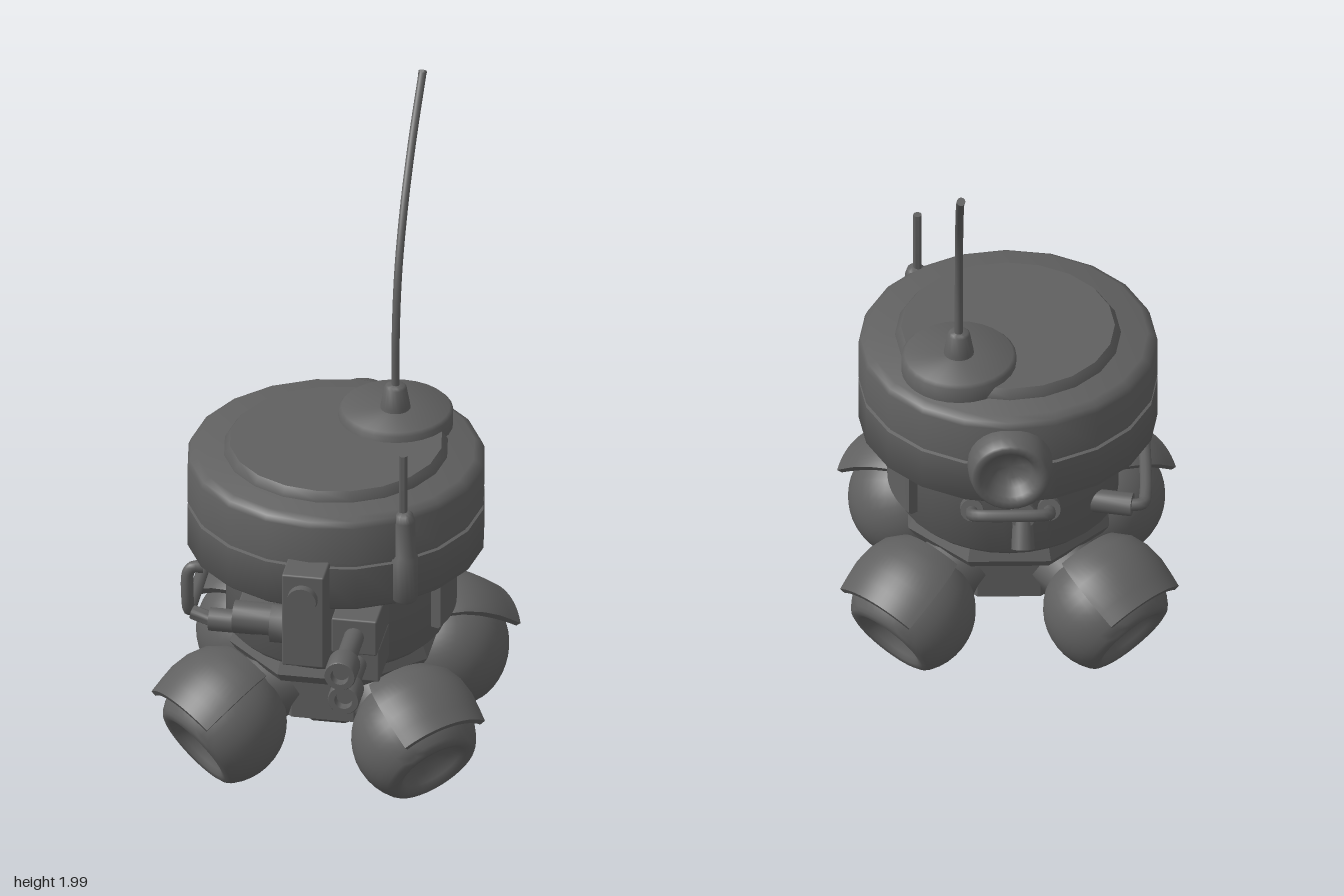
import * as THREE from 'three';
import { toCreasedNormals } from 'three/addons/utils/BufferGeometryUtils.js';
import { RoundedBoxGeometry } from 'three/addons/geometries/RoundedBoxGeometry.js';

const dark = new THREE.MeshStandardMaterial({ color: 0x606060 });
const darkDouble = new THREE.MeshStandardMaterial({ color: 0x606060, side: THREE.DoubleSide });
const CZ = -0.035; // centre line of the round body
const V = (x, y, z) => new THREE.Vector3(x, y, z);
const pts = (list) => list.map(([x, y]) => new THREE.Vector2(x, y));

function add(parent, name, geo, x = 0, y = 0, z = 0, mat = dark) {
  const mesh = new THREE.Mesh(geo, mat);
  mesh.name = name;
  mesh.position.set(x, y, z);
  parent.add(mesh);
  return mesh;
}

// Profile points run [radius, height] from bottom to top
const lathe = (profile, sides = 32) => toCreasedNormals(new THREE.LatheGeometry(pts(profile), sides), 0.95);

// Closed profile swept part of the way round the y axis, with both ends capped
function sweep(parent, name, profile, start, length, z = 0) {
  const outline = pts(profile);
  const geo = new THREE.LatheGeometry([...outline, outline[0]], 18, start, length);
  add(parent, name, toCreasedNormals(geo, 0.6), 0, 0, z, darkDouble);
  for (const angle of [start, start + length]) {
    const cap = add(parent, name + 'End', new THREE.ShapeGeometry(new THREE.Shape(outline)), 0, 0, z, darkDouble);
    cap.rotation.y = angle - Math.PI / 2;
  }
}

// Cylinder running from point a to point b
function rod(parent, name, a, b, r0, r1 = r0, sides = 16) {
  const geo = toCreasedNormals(new THREE.CylinderGeometry(r1, r0, a.distanceTo(b), sides), 0.9);
  const mesh = add(parent, name, geo);
  mesh.position.copy(a).add(b).multiplyScalar(0.5);
  mesh.quaternion.setFromUnitVectors(V(0, 1, 0), b.clone().sub(a).normalize());
}

function pipe(parent, name, points, r, segments = 40) {
  const curve = new THREE.CatmullRomCurve3(points, false, 'centripetal');
  add(parent, name, new THREE.TubeGeometry(curve, segments, r, 10), 0, 0, 0, darkDouble);
}

const box = (parent, name, w, h, d, x, y, z) =>
  add(parent, name, new RoundedBoxGeometry(w, h, d, 2, 0.006), x, y, z);

// Ball wheel with a dished outer face, mudguard and arm; outward is +z
function wheelPod() {
  const pod = new THREE.Group();
  pod.name = 'wheelPod';
  const tilted = new THREE.Group();
  tilted.name = 'tiltedWheel';
  tilted.rotation.x = THREE.MathUtils.degToRad(120); // local y points outward and down
  pod.add(tilted);

  const R = 0.19, profile = [];
  for (let i = 0; i <= 14; i++) {
    const a = -Math.PI / 2 + (i / 14) * (Math.PI / 2 + 0.62);
    profile.push([Math.max(0, R * Math.cos(a)), R * Math.sin(a)]);
  }
  profile.push([0.145, 0.12], [0.13, 0.126], [0.112, 0.122], [0.1, 0.108], [0.08, 0.085], [0.045, 0.07], [0, 0.066]);
  add(tilted, 'wheel', lathe(profile, 36));

  // Mudguard: thin shell over the upper part of the wheel
  const half = 0.74;
  sweep(tilted, 'mudguard', [[0.165, -0.16], [0.205, -0.115], [0.225, -0.06], [0.231, 0], [0.226, 0.05], [0.219, 0.1],
    [0.2, 0.1], [0.205, 0.05], [0.206, 0], [0.2, -0.06], [0.183, -0.11], [0.148, -0.15]], Math.PI - half, 2 * half);
  rod(pod, 'wheelArm', V(0, 0.1, -0.26), V(0, 0.05, -0.08), 0.12, 0.1, 8);
  return pod;
}

export function createModel() {
  const model = new THREE.Group();
  model.name = 'roverRobot';

  // Head drum with groove and raised lid
  add(model, 'headDrum', lathe([[0, 0.7], [0.435, 0.7], [0.455, 0.716], [0.455, 0.85], [0.445, 0.853], [0.445, 0.862],
    [0.455, 0.866], [0.455, 0.99], [0.447, 1.008], [0.425, 1.02], [0, 1.02]], 20), 0, 0, CZ);
  add(model, 'lid', lathe([[0, 1.01], [0.343, 1.01], [0.343, 1.025], [0.325, 1.05], [0, 1.05]], 20), 0, 0, CZ);

  // Waist and octagonal undercarriage
  add(model, 'waist', lathe([[0, 0.42], [0.31, 0.42], [0.335, 0.445], [0.335, 0.71], [0, 0.71]], 32), 0, 0, CZ);
  const hub = new THREE.LatheGeometry(pts([[0, 0.13], [0.13, 0.13], [0.2, 0.19], [0.25, 0.2], [0.25, 0.34],
    [0.31, 0.355], [0.33, 0.385], [0.31, 0.435], [0, 0.435]]), 8);
  add(model, 'undercarriage', toCreasedNormals(hub, 0.2), 0, 0, CZ).rotation.y = Math.PI / 8;

  // Four wheels on the diagonals
  for (let i = 0; i < 4; i++) {
    const angle = Math.PI / 4 + (i * Math.PI) / 2;
    const pod = wheelPod();
    pod.position.set(0.413 * Math.sin(angle), 0.198, CZ + 0.413 * Math.cos(angle));
    pod.rotation.y = angle;
    model.add(pod);
  }

  // Long curved antenna on a round base
  add(model, 'antennaPlate', lathe([[0, 1.02], [0.175, 1.02], [0.175, 1.07], [0.165, 1.08], [0, 1.08]], 28), 0.152, 0, -0.215);
  add(model, 'antennaSocket', lathe([[0.047, 1.07], [0.045, 1.09], [0.034, 1.15], [0.028, 1.157], [0, 1.157]], 20), 0.152, 0, -0.21);
  const whip = [[1.12, -0.213], [1.34, -0.217], [1.53, -0.261], [1.7, -0.362], [1.85, -0.502], [1.99, -0.68]];
  pipe(model, 'longAntenna', whip.map(([y, z]) => V(0.152, y, z)), 0.0125);
  rod(model, 'antennaTip', V(0.152, 1.984, -0.672), V(0.152, 1.99, -0.68), 0.013);

  // Short antenna on the drum's front left
  add(model, 'shortAntennaHolder', lathe([[0, 0.715], [0.034, 0.715], [0.041, 0.725], [0.041, 0.865], [0.033, 0.875],
    [0.033, 0.99], [0.026, 1.012], [0.014, 1.02], [0, 1.02]], 18), 0.275, 0, 0.318);
  rod(model, 'shortAntenna', V(0.27, 1, 0.315), V(0.27, 1.215, 0.315), 0.013);

  // Front sensor
  box(model, 'sensorHousing', 0.13, 0.315, 0.22, -0.005, 0.715, 0.4);
  rod(model, 'sensorLens', V(-0.005, 0.795, 0.49), V(-0.005, 0.795, 0.533), 0.048, 0.045, 24);

  // Twin stacked barrels
  box(model, 'upperBarrelMount', 0.14, 0.12, 0.25, 0.14, 0.633, 0.31);
  box(model, 'lowerBarrelMount', 0.14, 0.115, 0.21, 0.14, 0.515, 0.285);
  for (const [y, back, front] of [[0.635, 0.42, 0.685], [0.515, 0.37, 0.62]]) {
    rod(model, 'barrel', V(0.14, y, back), V(0.14, y, front - 0.05), 0.031);
    const muzzle = add(model, 'muzzle', lathe([[0.03, 0], [0.049, 0], [0.049, 0.08], [0.046, 0.085],
      [0.028, 0.085], [0.025, 0.06], [0, 0.06]], 24), 0.14, y, front - 0.085);
    muzzle.rotation.x = Math.PI / 2;
  }

  // Sideways canister beside the sensor
  rod(model, 'canister', V(-0.24, 0.637, 0.375), V(-0.12, 0.637, 0.375), 0.05, 0.05, 20);
  rod(model, 'canisterNut', V(-0.122, 0.632, 0.385), V(-0.065, 0.632, 0.385), 0.062, 0.062, 8);
  box(model, 'canisterBracket', 0.12, 0.09, 0.14, -0.17, 0.637, 0.295);

  // Side pipes on the right flank
  pipe(model, 'sidePipe', [V(-0.37, 0.692, 0.19), V(-0.4, 0.692, 0.195), V(-0.414, 0.675, 0.198), V(-0.416, 0.575, 0.198),
    V(-0.415, 0.535, 0.18), V(-0.415, 0.53, 0.14), V(-0.415, 0.53, -0.2), V(-0.405, 0.53, -0.245), V(-0.32, 0.53, -0.25)], 0.019, 64);
  rod(model, 'pipeElbow', V(-0.4, 0.537, 0.2), V(-0.34, 0.527, 0.215), 0.022);
  rod(model, 'frontPipeFitting', V(-0.345, 0.527, 0.215), V(-0.2, 0.527, 0.215), 0.036);
  rod(model, 'rearPipeFitting', V(-0.375, 0.53, -0.25), V(-0.23, 0.53, -0.22), 0.036);

  // Curved hatch on the left flank
  sweep(model, 'sideHatch', [[0.32, 0.49], [0.358, 0.49], [0.367, 0.499], [0.367, 0.636], [0.358, 0.645], [0.32, 0.645]],
    1.225, 0.94, CZ);

  // Dished port at the back of the drum
  const port = add(model, 'rearPort', lathe([[0, 0], [0.125, 0], [0.13, 0.09], [0.127, 0.12], [0.117, 0.155], [0.11, 0.16],
    [0.092, 0.157], [0.08, 0.145], [0.065, 0.118], [0.04, 0.1], [0, 0.095]], 28), 0, 0.857, -0.4);
  port.rotation.x = -Math.PI / 2;

  // Rear handle and nozzle
  pipe(model, 'rearHandle', [V(-0.12, 0.585, -0.33), V(-0.12, 0.61, -0.39), V(-0.115, 0.652, -0.465), V(-0.085, 0.66, -0.48),
    V(0.08, 0.66, -0.48), V(0.11, 0.652, -0.465), V(0.115, 0.61, -0.39), V(0.115, 0.585, -0.33)], 0.019);
  for (const x of [-0.12, 0.115]) rod(model, 'handleFitting', V(x, 0.582, -0.31), V(x, 0.612, -0.385), 0.035);
  rod(model, 'rearNozzle', V(-0.04, 0.62, -0.36), V(-0.04, 0.495, -0.425), 0.028, 0.036);
  rod(model, 'nozzleStub', V(-0.04, 0.575, -0.32), V(-0.04, 0.6, -0.4), 0.04);

  return model;
}
